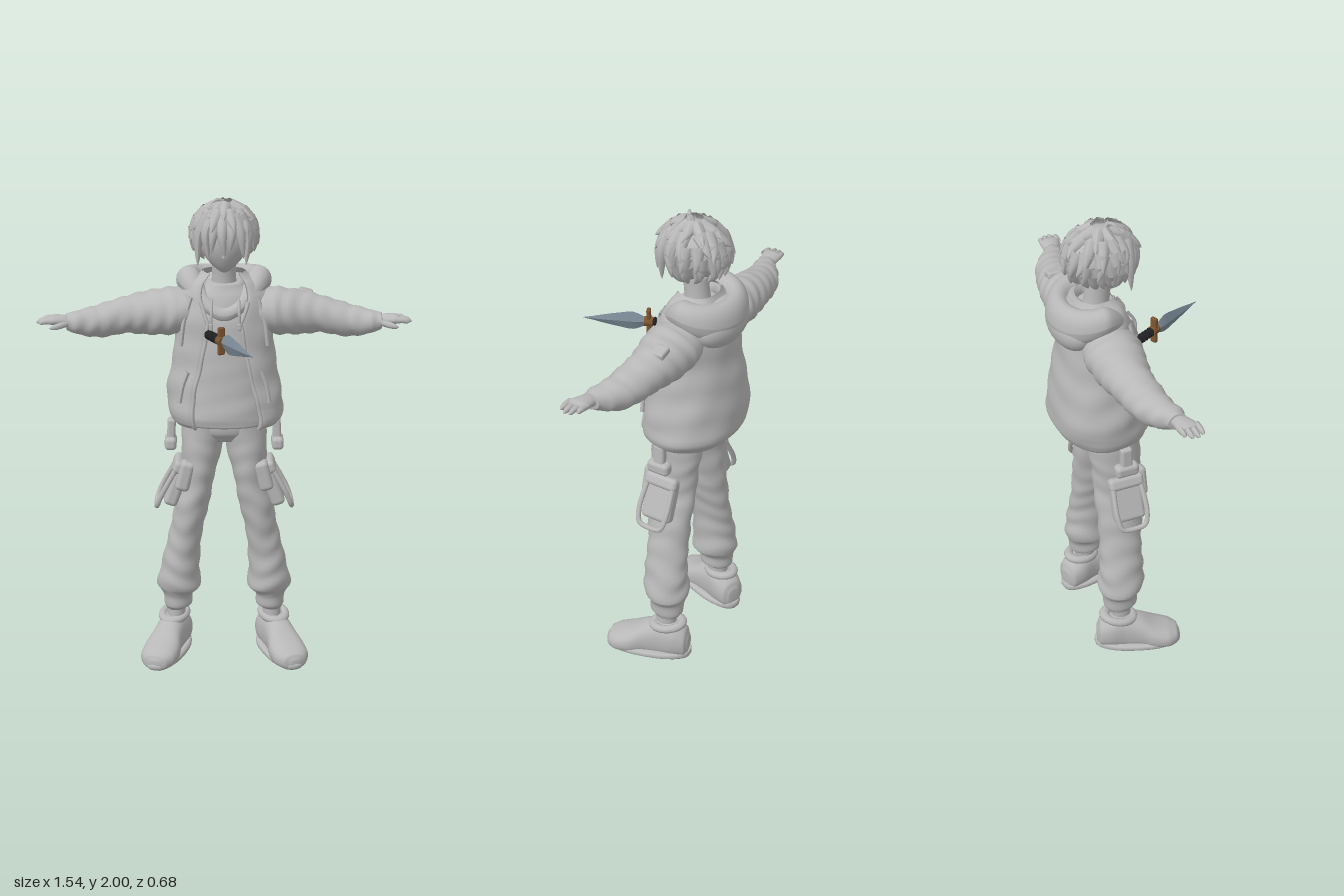
import * as THREE from 'three';
import { RoundedBoxGeometry } from 'three/addons/geometries/RoundedBoxGeometry.js';

const V = (x, y, z) => new THREE.Vector3(x, y, z);
const lerp = THREE.MathUtils.lerp;
const pw = (v, p) => Math.sign(v) * Math.abs(v) ** p;

// Small seeded random generator
function seeded(s) {
  return () => ((s = (s * 16807) % 2147483647) / 2147483647);
}

// Smoothly subdivides key cross-sections [t, centreA, centreB, radiusA, radiusB]
function refine(keys, sub) {
  const out = [];
  const at = i => keys[Math.max(0, Math.min(keys.length - 1, i))];
  for (let i = 0; i < keys.length - 1; i++)
    for (let s = 0; s < sub; s++) {
      const f = s / sub;
      out.push(at(i).map((p1, k) => {
        const p0 = at(i - 1)[k], p2 = at(i + 1)[k], p3 = at(i + 2)[k];
        if (k === 0) return lerp(p1, p2, f);
        return p1 + 0.5 * f * (p2 - p0 + f * (2 * p0 - 5 * p1 + 4 * p2 - p3 + f * (3 * (p1 - p2) + p3 - p0)));
      }));
    }
  out.push(keys[keys.length - 1]);
  return out;
}

// Skins rings of points into one closed surface with capped ends
function skin(rings, cap = true) {
  const n = rings[0].length, pos = [], idx = [];
  rings.forEach(r => r.forEach(p => pos.push(p.x, p.y, p.z)));
  for (let i = 0; i < rings.length - 1; i++)
    for (let j = 0; j < n; j++) {
      const a = i * n + j, b = i * n + (j + 1) % n;
      idx.push(a, a + n, b, b, a + n, b + n);
    }
  if (cap) [0, rings.length - 1].forEach((i, end) => {
    const c = rings[i].reduce((s, p) => s.add(p), V(0, 0, 0)).divideScalar(n);
    const k = pos.push(c.x, c.y, c.z) / 3 - 1;
    for (let j = 0; j < n; j++) {
      const a = i * n + j, b = i * n + (j + 1) % n;
      if (end) idx.push(k, b, a); else idx.push(k, a, b);
    }
  });
  const g = new THREE.BufferGeometry();
  g.setAttribute('position', new THREE.Float32BufferAttribute(pos, 3));
  g.setIndex(idx);
  g.computeVertexNormals();
  return g;
}

// Lofted limb along an axis, with optional folds
function limb(axis, keys, { seg = 28, sub = 5, p = 1, fold = () => 1 } = {}) {
  return skin(refine(keys, sub).map(([t, a, b, ra, rb]) => Array.from({ length: seg }, (_, j) => {
    const w = j / seg * Math.PI * 2, f = fold(t, w), c = pw(Math.cos(w), p) * f, s = pw(Math.sin(w), p) * f;
    if (axis === 'y') return V(a + ra * c, t, b + rb * s);
    if (axis === 'x') return V(t, a + ra * s, b + rb * c);
    return V(a + ra * s, b + rb * c, t);
  })));
}

// Tube along points whose radius follows a taper rule
function strand(points, r, taper = f => 1 - f, seg = 8) {
  const n = 8, curve = new THREE.CatmullRomCurve3(points);
  const g = new THREE.TubeGeometry(curve, n, r, seg), pos = g.attributes.position, v = V(0, 0, 0);
  for (let i = 0; i <= n; i++) {
    const c = curve.getPointAt(i / n);
    for (let j = 0; j <= seg; j++) {
      const k = i * (seg + 1) + j;
      v.fromBufferAttribute(pos, k).sub(c).multiplyScalar(taper(i / n)).add(c);
      pos.setXYZ(k, v.x, v.y, v.z);
    }
  }
  g.computeVertexNormals();
  return g;
}
const rounded = f => Math.sqrt(Math.max(0, 1 - f ** 6)) * (1 - 0.25 * f);

// Mirrors a geometry across x, keeping faces outward
function mirrored(src) {
  const g = (src.index ? src.toNonIndexed() : src.clone()).scale(-1, 1, 1);
  for (const name of ['position', 'normal']) {
    const at = g.attributes[name], a = V(0, 0, 0), b = V(0, 0, 0);
    for (let i = 0; i < at.count; i += 3) {
      a.fromBufferAttribute(at, i + 1); b.fromBufferAttribute(at, i + 2);
      at.setXYZ(i + 1, b.x, b.y, b.z); at.setXYZ(i + 2, a.x, a.y, a.z);
    }
  }
  return g;
}

export function createModel() {
  const root = new THREE.Group();
  const mat = (name, color, opt = {}) => Object.assign(new THREE.MeshStandardMaterial({ color, ...opt }), { name });
  const clay = mat('clay grey', 0xb8b8b8, { side: THREE.DoubleSide });
  const steel = mat('blade steel', 0x7c8c98, { flatShading: true });
  const brass = mat('guard bronze', 0x7d5530);
  const black = mat('handle black', 0x222224);
  const add = (name, geo, m = clay, parent = root) => {
    const mesh = new THREE.Mesh(geo, m);
    mesh.name = name;
    parent.add(mesh);
    return mesh;
  };
  const both = (name, geo) => { add('left' + name, geo); add('right' + name, mirrored(geo)); };
  const box = (w, h, d, r, x, y, z, rz = 0, ry = 0) => new RoundedBoxGeometry(w, h, d, 3, r).rotateZ(rz).rotateY(ry).translate(x, y, z);

  // Trousers with gathered folds, and ankles
  const legFold = (t, w) => 1 + (t < 0.28 || t > 0.98 ? 0 : lerp(0.05, 0.02, t)) * Math.sin(t * 62 + 1.6 * Math.sin(w * 2 + t * 9)) + 0.015 * Math.sin(w * 3 + t * 25);
  both('TrouserLeg', limb('y', [
    [0.2, .207, -.135, .046, .055], [0.22, .2, -.13, .06, .073], [0.27, .2, -.13, .064, .078], [0.31, .195, -.125, .092, .098],
    [0.4, .19, -.12, .083, .095], [0.5, .175, -.115, .074, .09], [0.6, .155, -.11, .07, .094], [0.7, .135, -.105, .073, .1],
    [0.8, .112, -.105, .068, .102], [0.9, .1, -.105, .08, .105], [1.0, .09, -.11, .09, .11], [1.08, .085, -.11, .09, .11]], { fold: legFold }));
  add('trouserSeat', limb('y', [[.99, 0, -.115, .13, .09], [1.03, 0, -.11, .17, .112], [1.1, 0, -.11, .175, .115], [1.2, 0, -.11, .17, .11]]));
  both('Ankle', limb('y', [[.1, .21, -.13, .04, .045], [.22, .208, -.135, .04, .045]]));

  // Shoes, toes turned outward
  const shoe = limb('z', [[-.175, 0, .06, .03, .04], [-.16, 0, .07, .055, .065], [-.11, 0, .085, .068, .085], [-.05, 0, .08, .064, .09],
    [.02, 0, .07, .068, .075], [.08, 0, .05, .08, .06], [.14, 0, .04, .076, .047], [.175, 0, .035, .052, .035], [.187, 0, .03, .02, .018]], { p: .85 });
  const sp = shoe.attributes.position;
  for (let i = 0; i < sp.count; i++) sp.setY(i, Math.max(sp.getY(i), .012));
  shoe.computeVertexNormals();
  const sole = limb('y', [[0, 0, 0, .068, .18], [.01, 0, .003, .08, .188], [.026, 0, .003, .08, .188], [.034, 0, 0, .07, .182]], { p: .8, sub: 3, fold: (t, w) => 1 - .03 * Math.sin(w * 2) ** 2 });
  const collar = new THREE.TorusGeometry(.05, .018, 10, 24).rotateX(Math.PI / 2).scale(1, 1, 1.25).rotateX(.15).translate(0, .158, -.08);
  [['Shoe', shoe], ['ShoeSole', sole], ['ShoeCollar', collar]].forEach(([n, g]) => both(n, g.rotateY(.33).translate(.243, 0, -.07)));

  // Cargo pockets, strap loops and hip tabs
  both('CargoPocket', box(.06, .19, .135, .02, .2, .79, -.1, .35));
  both('PocketFlap', box(.05, .055, .15, .018, .19, .87, -.1, .4));
  const loop = new THREE.CatmullRomCurve3([V(.2, .87, -.04), V(.265, .75, -.035), V(.284, .7, -.05), V(.286, .69, -.1), V(.284, .7, -.15), V(.265, .75, -.165), V(.2, .87, -.16)]);
  both('StrapLoop', new THREE.TubeGeometry(loop, 40, .011, 8));
  both('FrontPocket', box(.06, .13, .07, .02, .165, .84, -.035, .25));
  both('HipTab', box(.035, .12, .05, .012, .222, 1.01, -.11, .05));
  both('HipBuckle', box(.05, .055, .1, .018, .225, .965, -.11));

  // Shirt
  add('shirt', limb('y', [[1.06, 0, -.115, .19, .135], [1.1, 0, -.115, .19, .14], [1.2, 0, -.12, .18, .132], [1.35, 0, -.13, .165, .13], [1.5, 0, -.14, .155, .122],
    [1.6, 0, -.145, .12, .095], [1.65, 0, -.145, .07, .07]], { p: .9, fold: (t, w) => 1 + .008 * Math.sin(t * 70 + w * 3) }));

  // Open jacket: C-shaped sections with an outer and an inner wall
  const gapAt = t => t < 1.5 ? lerp(.62, .3, (t - 1.06) / .44) : lerp(.3, .75, (t - 1.5) / .2);
  const edges = [[], []];
  const jacketRings = refine([[1.055, .01, -.135, .215, .168], [1.07, .01, -.135, .228, .18], [1.1, .01, -.142, .24, .19], [1.14, .005, -.147, .243, .19],
    [1.22, 0, -.15, .235, .18], [1.32, 0, -.15, .216, .167], [1.42, 0, -.145, .205, .152], [1.52, 0, -.145, .2, .142],
    [1.6, 0, -.15, .182, .125], [1.65, 0, -.15, .145, .105], [1.69, 0, -.15, .09, .08]], 5).map(([t, a, b, ra, rb]) => {
    const g = gapAt(t), n = 48, ring = [];
    const point = (f, k) => {
      const w = Math.PI / 2 + g + f * (Math.PI * 2 - 2 * g);
      const s = k * (1 + .012 * Math.sin(t * 48 + Math.sin(w * 2) * 1.5) + .006 * Math.sin(w * 7 + t * 20));
      return V(a + ra * s * pw(Math.cos(w), .9), t, b + rb * s * pw(Math.sin(w), .9));
    };
    for (let j = 0; j <= n; j++) ring.push(point(j / n, 1));
    for (let j = n; j >= 0; j--) ring.push(point(j / n, .93));
    if (t < 1.6) { edges[0].push(point(0, 1)); edges[1].push(point(1, 1)); }
    return ring;
  });
  add('jacket', skin(jacketRings, false));
  edges.forEach((e, i) => add(['right', 'left'][i] + 'JacketEdge', new THREE.TubeGeometry(new THREE.CatmullRomCurve3(e), 50, .008, 8)));
  both('JacketPocketWelt', strand([V(.15, 1.3, .0), V(.172, 1.24, .0), V(.185, 1.17, .0)], .009, () => 1));
  both('ChestSeam', strand([V(.135, 1.6, -.058), V(.165, 1.5, -.045), V(.178, 1.4, -.045)], .009, () => 1));

  // Sleeves with wrinkles and a small sleeve pocket
  both('Sleeve', limb('x', [[.1, 1.53, -.15, .08, .1], [.18, 1.525, -.15, .095, .115], [.24, 1.52, -.152, .098, .112], [.32, 1.513, -.155, .09, .097],
    [.4, 1.507, -.152, .078, .085], [.5, 1.488, -.133, .07, .077], [.55, 1.484, -.12, .062, .07], [.6, 1.487, -.1, .05, .06],
    [.625, 1.49, -.09, .04, .046], [.645, 1.493, -.083, .034, .04]], { fold: (t, w) => 1 + (t < .2 ? 0 : .035) * Math.sin(t * 95 + 1.5 * Math.sin(w * 2 + 1)) + .012 * Math.sin(w * 4 + t * 40) }));
  add('sleevePocket', box(.06, .03, .06, .01, .34, 1.588, -.19, -.25));

  // Hands
  both('Palm', limb('x', [[.62, 1.494, -.082, .024, .03], [.66, 1.5, -.076, .024, .036], [.7, 1.505, -.07, .02, .043], [.72, 1.504, -.068, .014, .04]]));
  [[-.102, .745], [-.08, .765], [-.057, .768], [-.034, .755]].forEach(([z, x], i) =>
    both('Finger' + (i + 1), strand([V(.695, 1.506, z), V(.73, 1.506, z + .002), V(x, 1.498, z + .004)], .0135, rounded)));
  both('Thumb', strand([V(.645, 1.492, -.055), V(.68, 1.485, -.032), V(.712, 1.48, -.022)], .015, rounded));

  // Hood: a ring that dips to a point at the throat and swells at the back
  const hood = new THREE.TorusGeometry(1, .4, 18, 64).rotateX(Math.PI / 2), hp = hood.attributes.position;
  for (let i = 0; i < hp.count; i++) {
    const x = hp.getX(i), z = hp.getZ(i), a = Math.atan2(z, x), d = (Math.hypot(x, z) - 1) / .4, h = hp.getY(i) / .4;
    const s = Math.sin(a), back = (1 - s) / 2, front = Math.max(0, s);
    const r = lerp(.028, .052, Math.min(1, back * 2)), ry = lerp(.03, .085, back);
    const cy = 1.65 - .12 * front ** 1.8 - .045 * Math.max(0, -s);
    hp.setXYZ(i, Math.cos(a) * (.145 * (1 - .25 * front) + d * r), cy + h * ry, -.165 + s * ((s > 0 ? .125 : .122) + d * r));
  }
  hood.computeVertexNormals();
  add('hoodRing', hood);
  add('hoodBag', new THREE.SphereGeometry(1, 32, 20).scale(.155, .095, .088).translate(0, 1.58, -.25));
  [-.052, .058].forEach((x, i) => {
    add('drawstring' + (i + 1), strand([V(x, 1.6, -.03), V(x * 1.02, 1.55, .0), V(x * 1.05, 1.5, .002)], .006, () => 1));
    add('drawstringTip' + (i + 1), box(.015, .03, .015, .005, x * 1.05, 1.49, .003));
  });

  // Neck and face, narrowing to the chin
  add('neck', limb('y', [[1.58, 0, -.15, .065, .065], [1.66, 0, -.14, .05, .052], [1.76, 0, -.13, .048, .052]]));
  const head = new THREE.SphereGeometry(1, 36, 28), fp = head.attributes.position;
  for (let i = 0; i < fp.count; i++) {
    const y = fp.getY(i), z = fp.getZ(i), low = Math.max(0, -y);
    fp.setXYZ(i, fp.getX(i) * .104 * (1 - .42 * low * low), 1.832 + y * .132, -.105 + z * .105 * (1 - .35 * low * low) + .035 * low * low);
  }
  head.computeVertexNormals();
  add('head', head);
  add('nose', new THREE.ConeGeometry(.011, .035, 8).translate(0, 1.792, .0));

  // Hair: tilted cap, layered locks, fringe and a cowlick
  const hair = new THREE.Group();
  hair.name = 'hair';
  root.add(hair);
  add('hairCap', new THREE.SphereGeometry(1, 36, 20, 0, Math.PI * 2, 0, Math.PI * .6).rotateX(-.45).scale(.122, .115, .137).translate(0, 1.855, -.12), clay, hair);
  const rnd = seeded(11);
  const onHair = (th, ph, k) => V(.122 * k * Math.sin(th) * Math.sin(ph), 1.855 + .113 * k * Math.cos(th), -.12 + .137 * k * Math.sin(th) * Math.cos(ph));
  [[.45, 8, 1.13], [.85, 12, 1.15], [1.25, 15, 1.18], [1.6, 15, 1.2], [1.9, 14, 1.12]].forEach(([th, count, out]) => {
    for (let i = 0; i < count; i++) {
      const ph = (i + .6 * rnd()) / count * Math.PI * 2, turn = (rnd() - .5) * .5;
      if (th > 1.2 && Math.cos(ph) > .55) continue;
      const len = .45 + rnd() * .25;
      add('hairLock', strand([onHair(th - .2, ph, .93), onHair(th + len * .5, ph + turn * .4, 1.05), onHair(th + len, ph + turn, out + rnd() * .06)], .034, f => (1 - f) ** .75), clay, hair);
    }
  });
  [[-.1, 1.73], [-.075, 1.76], [-.045, 1.79], [-.01, 1.77], [.03, 1.8], [.065, 1.77], [.095, 1.735]].forEach(([x, y], i) => {
    const z = .022 - x * x * 6;
    add('fringeLock', strand([V(x * .6, 1.935, -.045), V(x * .98, 1.87, z - .006), V(x + (i % 2 ? .012 : -.008), y, z)], .031, f => (1 - f) ** .7), clay, hair);
  });
  add('cowlick', strand([V(0, 1.955, -.1), V(-.015, 1.992, -.09), V(-.04, 1.99, -.075), V(-.065, 1.965, -.06)], .013), clay, hair);
  add('cowlickBack', strand([V(-.01, 1.95, -.11), V(-.01, 1.985, -.1), V(.005, 1.998, -.085)], .014), clay, hair);

  // Dagger pointing forward
  const dagger = new THREE.Group();
  dagger.name = 'dagger';
  dagger.position.set(-.015, 1.458, .1);
  dagger.rotation.y = .46;
  root.add(dagger);
  add('blade', limb('z', [[.01, 0, 0, .008, .018], [.035, 0, 0, .012, .03], [.065, 0, 0, .013, .04], [.11, 0, 0, .011, .034], [.19, 0, 0, .008, .018], [.268, 0, 0, .001, .001]], { seg: 4, sub: 2 }), steel, dagger);
  add('guard', new RoundedBoxGeometry(.03, .115, .018, 2, .007), brass, dagger);
  add('guardCollar', new THREE.CylinderGeometry(.02, .02, .035, 16).rotateX(Math.PI / 2), brass, dagger);
  add('handle', new THREE.CylinderGeometry(.015, .015, .115, 16).rotateX(Math.PI / 2).translate(0, 0, -.06), black, dagger);
  for (let i = 0; i < 6; i++) add('gripWrap', new THREE.TorusGeometry(.015, .005, 8, 16).translate(0, 0, -.025 - i * .017), black, dagger);
  return root;
}
